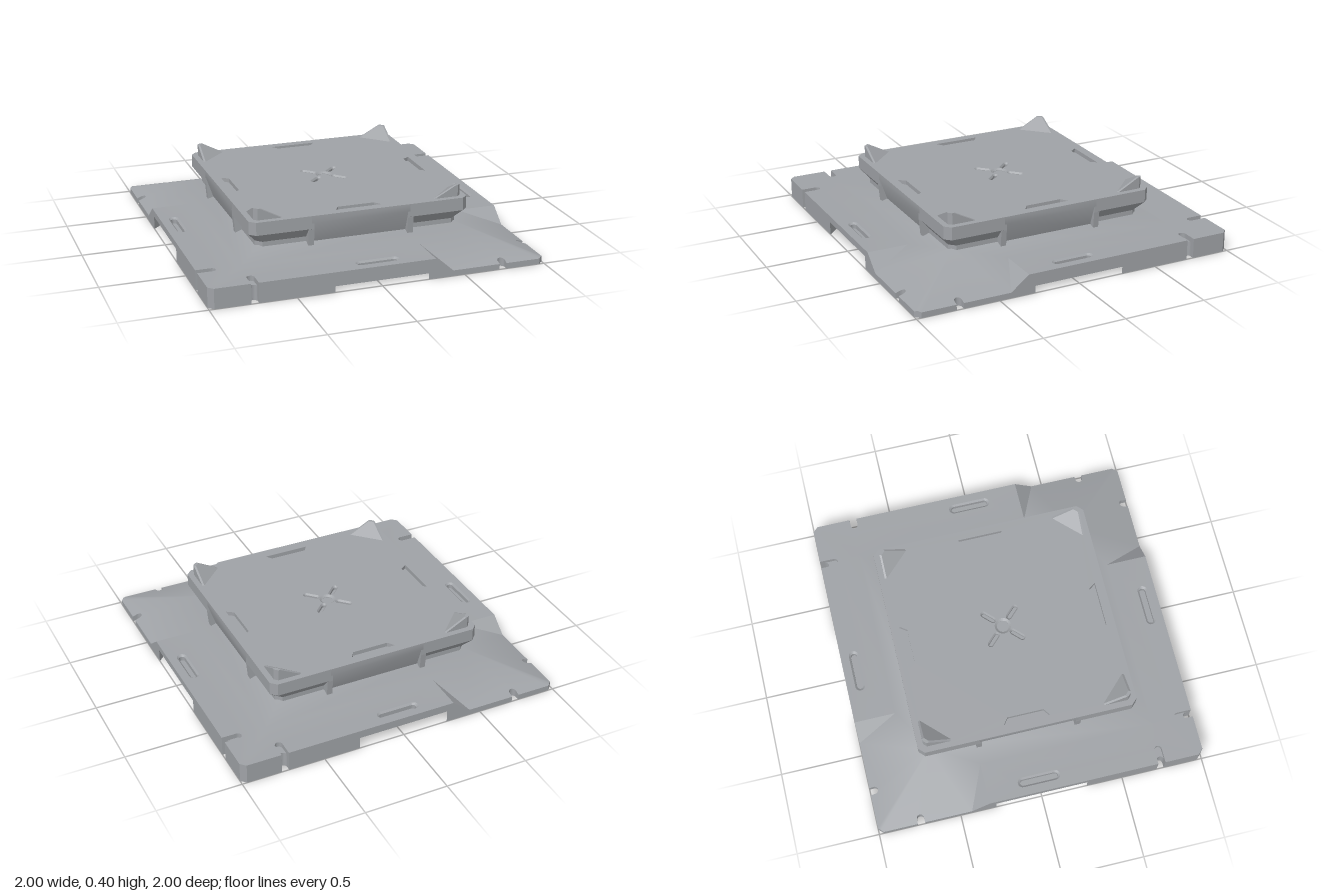
import * as THREE from 'three';
import { mergeGeometries, toCreasedNormals } from 'three/addons/utils/BufferGeometryUtils.js';

const COLOR = 0x9fa2a6;
const flat = new THREE.MeshStandardMaterial({ color: COLOR, flatShading: true, side: THREE.DoubleSide });
const smooth = new THREE.MeshStandardMaterial({ color: COLOR, side: THREE.DoubleSide });

function addMesh(parent, name, geometry) {
  geometry.computeVertexNormals();
  const mesh = new THREE.Mesh(geometry, flat);
  mesh.name = name;
  parent.add(mesh);
}

// Plan points are [x, z]; a height is a number or a rule of (x, z).
const heightAt = (h, [x, z]) => (typeof h === 'function' ? h(x, z) : h);
const toVectors = (points) => points.map(([x, z]) => new THREE.Vector2(x, z));

// Flat plan polygon lifted to a height
function sheet(parent, name, points, height, holes = [], up = true) {
  const shape = new THREE.Shape(toVectors(points));
  shape.holes = holes.map((hole) => new THREE.Path(toVectors(hole)));
  const geometry = new THREE.ShapeGeometry(shape).deleteAttribute('uv');
  const pos = geometry.attributes.position;
  for (let i = 0; i < pos.count; i++) {
    const x = pos.getX(i), z = pos.getY(i);
    pos.setXYZ(i, x, heightAt(height, [x, z]), z);
  }
  if (up) geometry.setIndex(Array.from(geometry.index.array).reverse());
  addMesh(parent, name, geometry.toNonIndexed());
}

// Band of quads between a lower and an upper line of plan points
function band(parent, name, lower, low, upper, high, closed = false) {
  const verts = [], n = lower.length;
  for (let i = 0; i < (closed ? n : n - 1); i++) {
    const j = (i + 1) % n;
    const at = (line, k, h) => [line[k][0], heightAt(h, line[k]), line[k][1]];
    const a = at(lower, i, low), b = at(lower, j, low), c = at(upper, j, high), d = at(upper, i, high);
    verts.push(...a, ...b, ...c, ...a, ...c, ...d);
  }
  const geometry = new THREE.BufferGeometry();
  geometry.setAttribute('position', new THREE.Float32BufferAttribute(verts, 3));
  addMesh(parent, name, geometry);
}
const wall = (parent, name, line, low, high, closed) => band(parent, name, line, low, line, high, closed);

// Blind pocket with a chamfered mouth, from the outer to the inner outline
function pocket(parent, name, outer, inner, top, depth) {
  band(parent, name + 'Chamfer', inner, top - 0.01, outer, top, true);
  wall(parent, name + 'Wall', inner, top - depth, top - 0.01, true);
  sheet(parent, name + 'Floor', inner, top - depth);
}

// Arc points in plan
function arc(cx, cz, r, from, to, steps = 10) {
  return Array.from({ length: steps + 1 }, (_, i) => {
    const a = from + ((to - from) * i) / steps;
    return [cx + r * Math.cos(a), cz + r * Math.sin(a)];
  });
}

// Rounded slot with the given half length and radius, turned by an angle
function slot(cx, cz, half, r, angle = 0) {
  const dx = half * Math.cos(angle), dz = half * Math.sin(angle), q = Math.PI / 2;
  return [...arc(cx + dx, cz + dz, r, angle - q, angle + q), ...arc(cx - dx, cz - dz, r, angle + q, angle + 3 * q)];
}
const circle = (r) => arc(0, 0, r, 0, 2 * Math.PI, 24).slice(0, -1);

// Notch open to the rim at z = 1, ending in a half circle
const notch = (cx, end, r = 0.022) =>
  [[cx - r, 1], ...arc(cx, end + r, r, Math.PI, 2 * Math.PI), [cx + r, 1]];

const RIM = 0.12, FLOOR = 0.09, RECESS = 0.08, TOP = 0.333;
const slope = (x, z) => RIM - (z - 0.75) * 0.346;
const ramp = (x, z) => RIM - (x - 0.32) * (RIM - slope(0, 1)) / 0.11;

const longNotch = notch(-0.74, 0.89), shortNotch = notch(-0.74, 0.95), lowNotch = notch(0.74, 0.95);
const leftCorner = [[-0.985, 0.985], [-0.97, 1]], rightCorner = [[0.97, 1], [0.985, 0.985]];
const slotOuter = slot(0, 0.92, 0.1, 0.03), slotInner = slot(0, 0.92, 0.097, 0.019);

// Upper surfaces of one quarter: raised rim to the left, sunken corner to the right
function baseTop(g) {
  sheet(g, 'rim', [[-0.75, 0.75], ...leftCorner, ...longNotch, [0.32, 1], [0.32, 0.75]], RIM, [slotOuter]);
  sheet(g, 'rimRamp', [[0.32, 0.75], [0.32, 1], [0.43, 1]], ramp);
  sheet(g, 'baseSlope', [[-0.6, 0.6], [-0.75, 0.75], [0.32, 0.75], [0.43, 1], ...lowNotch, ...rightCorner, [0.6, 0.6]], slope);
}

// Outer edge, notches, slot and underside of one quarter
function baseSide(g) {
  const recess = [[-0.28, 1], [-0.36, 0.92], [0.36, 0.92], [0.28, 1]];
  wall(g, 'rimEdge', [...leftCorner, longNotch[0]], 0, RIM);
  wall(g, 'notchWall', shortNotch, 0, FLOOR);
  wall(g, 'grooveWall', longNotch, FLOOR, RIM);
  sheet(g, 'grooveFloor', [...longNotch.slice(1, -1), ...shortNotch.slice(1, -1).reverse()], FLOOR);
  wall(g, 'rimEdge', [longNotch.at(-1), [-0.28, 1]], 0, RIM);
  wall(g, 'recessLintel', [[-0.28, 1], [0.28, 1]], RECESS, RIM);
  wall(g, 'rimEdge', [[0.28, 1], [0.32, 1]], 0, RIM);
  wall(g, 'rampEdge', [[0.32, 1], [0.43, 1]], 0, ramp);
  wall(g, 'cornerEdge', [[0.43, 1], ...lowNotch, ...rightCorner], 0, slope);
  pocket(g, 'slot', slotOuter, slotInner, RIM, 0.035);

  // Underside with dovetail recess
  sheet(g, 'underside', [[0, 0], ...leftCorner, ...shortNotch, ...recess, ...lowNotch, ...rightCorner], 0, [], false);
  wall(g, 'recessWall', recess, 0, RECESS);
  sheet(g, 'recessRoof', recess, RECESS, [], false);
}

// Platform side: sloping middle panel between undercut corners
function platformBody(g) {
  const middle = (z) => [[-0.3, z], [0.3, z]];
  wall(g, 'middleEdge', middle(0.665), 0.29, TOP);
  band(g, 'middlePanel', middle(0.62), 0.16, middle(0.665), 0.29);
  const half = (s) => [[0.3, s], [s - 0.035, s], [s - 0.0175, s - 0.0175]];
  const mirrored = (line) => line.map(([x, z]) => [-x, z]).reverse();
  for (const place of [(line) => line, mirrored]) {
    const neck = place(half(0.615)), edge = place(half(0.665));
    wall(g, 'neck', neck, 0.15, 0.195);
    band(g, 'undercut', neck, 0.195, edge, 0.255);
    wall(g, 'cornerEdge', edge, 0.255, TOP);
  }
}

// Upright fins at the ends of the middle panel
function fins(g) {
  const profile = [[0.55, 0.15], [0.655, 0.15], [0.664, 0.25], [0.664, 0.292], [0.55, 0.292]];
  for (const s of [-1, 1]) {
    const geometry = new THREE.ExtrudeGeometry(new THREE.Shape(toVectors(profile)), { depth: 0.034, bevelEnabled: false });
    geometry.rotateY(-Math.PI / 2).translate(s * 0.303 + 0.017, 0, 0);
    addMesh(g, 'fin', geometry);
  }
}

// Four sides around the centre; neighbours are mirrored so opposite corners match
function fourSides(name, build) {
  const all = new THREE.Group();
  all.name = name;
  for (let i = 0; i < 4; i++) {
    const side = new THREE.Group();
    side.name = name + 'Side';
    build(side);
    side.rotation.y = (i * Math.PI) / 2;
    side.scale.x = i % 2 ? -1 : 1;
    all.add(side);
  }
  return all;
}

// Joins a group into one mesh, smooth over shallow edges
function smoothJoin(group) {
  group.updateMatrixWorld(true);
  const geometries = [];
  group.traverse((mesh) => {
    if (!mesh.isMesh) return;
    const geometry = mesh.geometry.applyMatrix4(mesh.matrixWorld);
    if (mesh.matrixWorld.determinant() < 0) {
      geometry.setIndex(Array.from({ length: geometry.attributes.position.count }, (_, i) => i).reverse());
    }
    geometries.push(geometry.index ? geometry.toNonIndexed() : geometry);
  });
  const joined = new THREE.Mesh(toCreasedNormals(mergeGeometries(geometries), 0.5), smooth);
  joined.name = group.name;
  return joined;
}

export function createModel() {
  const model = new THREE.Group();
  model.name = 'platformBase';
  model.add(smoothJoin(fourSides('baseTop', baseTop)), fourSides('base', baseSide));
  model.add(smoothJoin(fourSides('platformBody', platformBody)), fourSides('fins', fins));

  // Platform top with edge pockets and a central cross of grooves
  const top = 0.665, c = top - 0.035;
  const outline = [[-top, -c], [-c, -top], [c, -top], [top, -c], [top, c], [c, top], [-c, top], [-top, c]];
  const outers = [circle(0.05)], inners = [circle(0.036)];
  for (let i = 0; i < 4; i++) {
    const a = (i * Math.PI) / 2, cos = Math.round(Math.cos(a)), sin = Math.round(Math.sin(a));
    const trapezoid = [[-0.14, 0.61], [0.14, 0.61], [0.11, 0.568], [-0.11, 0.568]]
      .map(([x, z]) => [x * cos - z * sin, x * sin + z * cos]);
    outers.push(trapezoid);
    inners.push(trapezoid);
    const d = a + Math.PI / 4, x = 0.104 * Math.cos(d), z = 0.104 * Math.sin(d);
    outers.push(slot(x, z, 0.034, 0.019, d));
    inners.push(slot(x, z, 0.034, 0.011, d));
  }
  sheet(model, 'platformTop', outline, TOP, outers);
  outers.forEach((outer, i) => pocket(model, i ? 'topGroove' : 'centreDimple', outer, inners[i], TOP, i ? 0.025 : 0.012));

  // Corner guides: wedges rising to the outer corner
  for (const sx of [-1, 1]) {
    for (const sz of [-1, 1]) {
      const guide = new THREE.Group();
      guide.name = 'cornerGuide';
      guide.scale.set(sx, 1, sz);
      const plan = (leg) => [[0.63 - leg, 0.618], [0.618, 0.63 - leg], [0.63, 0.635 - leg], [0.63, 0.61], [0.61, 0.63], [0.635 - leg, 0.63]];
      band(guide, 'guideSides', plan(0.165), TOP, plan(0.035), 0.402, true);
      sheet(guide, 'guideTip', plan(0.035), 0.402);
      model.add(guide);
    }
  }
  return model;
}
